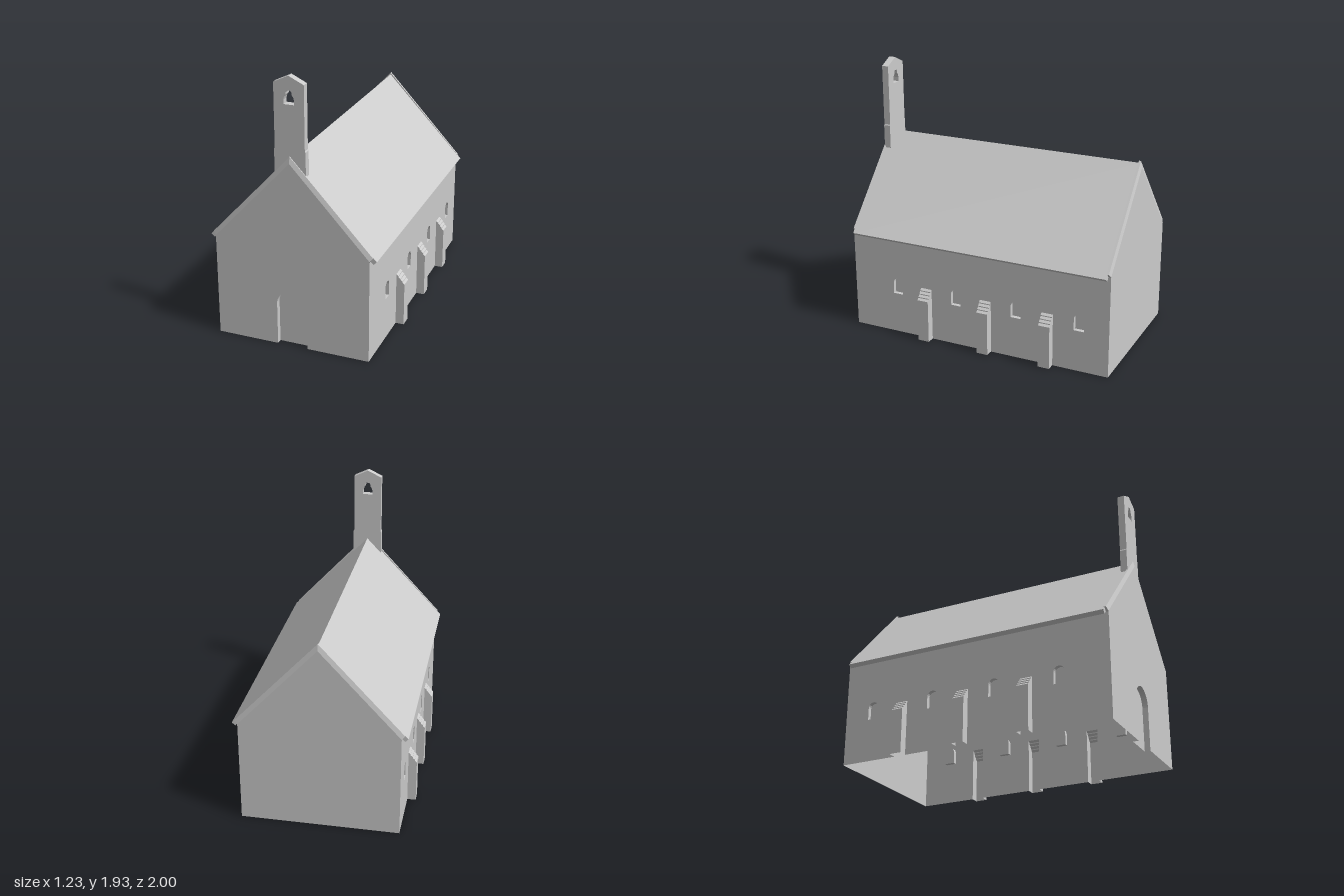
import * as THREE from 'three';

const material = new THREE.MeshStandardMaterial({ color: 0xcccccc, side: THREE.DoubleSide });
const HALF_W = 0.555, HALF_L = 1.0;

function mesh(name, geometry, parent) {
  const m = new THREE.Mesh(geometry, material);
  m.name = name;
  parent.add(m);
  return m;
}

// Flat-faced ribbon joining two polylines of equal length
function strip(a, b) {
  const pos = [];
  for (let i = 0; i < a.length - 1; i++) {
    for (const p of [a[i], a[i + 1], b[i + 1], a[i], b[i + 1], b[i]]) pos.push(...p);
  }
  const g = new THREE.BufferGeometry();
  g.setAttribute('position', new THREE.Float32BufferAttribute(pos, 3));
  g.computeVertexNormals();
  return g;
}

const shapeOf = pts => new THREE.Shape(pts.map(p => new THREE.Vector2(p[0], p[1])));
const atZ = (pts, z) => pts.map(p => [p[0], p[1], z]);

// Round-arched outline, from the bottom left over the top to the bottom right
function arch(cx, y0, springY, r, n = 14) {
  const pts = [[cx - r, y0]];
  for (let i = 0; i <= n; i++) {
    const t = Math.PI * (1 - i / n);
    pts.push([cx + r * Math.cos(t), springY + r * Math.sin(t)]);
  }
  pts.push([cx + r, y0]);
  return pts;
}

// Blind arched recess: reveal plus back panel
function recess(name, pts, z, depth, closed, parent) {
  const group = new THREE.Group();
  group.name = name;
  parent.add(group);
  const loop = closed ? [...pts, pts[0]] : pts;
  mesh(name + 'Reveal', strip(atZ(loop, z - depth), atZ(loop, z)), group);
  mesh(name + 'Panel', new THREE.ShapeGeometry(shapeOf(pts)), group).position.z = z - depth;
}

// Hollow buttress with a weathered, lapped top
function buttress(cx, z, parent) {
  const group = new THREE.Group();
  group.name = 'buttress';
  parent.add(group);
  const w = 0.0425, courses = 4;
  const profile = [[0, 0.06], [0.31, 0.06]];
  for (let i = 0; i < courses; i++) {
    const out = 0.06 * (1 - i / courses), y = 0.31 + 0.02 * i;
    profile.push([y + 0.007, out], [y + 0.02, out - 0.015]);
  }
  const line = (x, k) => profile.map(([y, out]) => [x, y, z + out * k]);
  mesh('buttressFace', strip(line(cx - w, 1), line(cx + w, 1)).scale(1, 1, 1), group);
  for (const s of [-1, 1]) mesh('buttressCheek', strip(line(cx + s * w, 0), line(cx + s * w, 1)), group);
}

// Long wall with windows and buttresses; s = +1 is the model's left
function sideWall(s) {
  const wall = new THREE.Group();
  wall.name = s > 0 ? 'leftWall' : 'rightWall';
  wall.rotation.y = s * Math.PI / 2;
  const outline = [[-HALF_L, 0]];
  const buttresses = [0.405, -0.07, -0.545].map(z => -s * z).sort((a, b) => a - b);
  for (const c of buttresses) {
    outline.push([c - 0.0425, 0], [c - 0.0425, 0.39], [c + 0.0425, 0.39], [c + 0.0425, 0]);
    buttress(c, HALF_W, wall);
  }
  outline.push([HALF_L, 0], [HALF_L, 0.741], [-HALF_L, 0.741]);
  const shape = shapeOf(outline);
  for (const z of [0.64, 0.165, -0.305, -0.78]) {
    const pts = arch(-s * z, 0.305, 0.392, 0.038, 10);
    shape.holes.push(shapeOf(pts));
    recess('window', pts, HALF_W, 0.03, true, wall);
  }
  mesh('wallFace', new THREE.ShapeGeometry(shape), wall).position.z = HALF_W;
  return wall;
}

// Gable wall with sloping coping; the front one has a doorway
function gable(front) {
  const group = new THREE.Group();
  group.name = front ? 'frontGable' : 'backGable';
  if (!front) group.rotation.y = Math.PI;
  const door = arch(0, 0, 0.31, 0.11, 24);
  const outline = [[-HALF_W, 0], ...(front ? door : []), [HALF_W, 0],
    [HALF_W, 0.745], [0, 1.345], [-HALF_W, 0.745]];
  mesh('gableWall', new THREE.ShapeGeometry(shapeOf(outline)), group).position.z = HALF_L;
  if (front) recess('door', door, HALF_L, 0.04, false, group);

  const inner = [[HALF_W, 0.745], [0, 1.345], [-HALF_W, 0.745]];
  const outer = [[0.575, 0.77], [0, 1.39], [-0.575, 0.77]];
  const rings = [atZ(inner, 1), atZ(outer, 0.99), atZ(outer, 0.975), atZ(inner, 0.975)];
  for (let i = 0; i < 3; i++) mesh('coping', strip(rings[i + 1], rings[i]), group);
  for (const e of [0, 2]) {
    mesh('copingEnd', strip([rings[0][e], rings[1][e]], [rings[3][e], rings[2][e]]), group);
  }
  return group;
}

export function createModel() {
  const chapel = new THREE.Group();
  chapel.name = 'chapel';
  chapel.add(sideWall(1), sideWall(-1), gable(true), gable(false));

  // Roof slab
  const roof = shapeOf([[0.598, 0.742], [0, 1.375], [-0.598, 0.742],
    [-0.575, 0.72], [0, 1.33], [0.575, 0.72]]);
  mesh('roof', new THREE.ExtrudeGeometry(roof, { depth: 1.96, bevelEnabled: false }), chapel)
    .position.z = -0.98;

  // Bell tower standing astride the ridge
  const tower = shapeOf([[-0.11, 1.26], [0, 1.365], [0.11, 1.26], [0.11, 1.43], [0.105, 1.44],
    [0.105, 1.88], [0, 1.93], [-0.105, 1.88], [-0.105, 1.44], [-0.11, 1.43]]);
  const half = [[0.037, 1.74], [0.037, 1.77], [0.031, 1.79], [0.021, 1.805], [0.02, 1.82], [0.011, 1.833]];
  tower.holes.push(shapeOf([...half, ...half.map(([x, y]) => [-x, y]).reverse()]));
  mesh('bellTower', new THREE.ExtrudeGeometry(tower, { depth: 0.05, bevelEnabled: false }), chapel)
    .position.z = 0.934;

  return chapel;
}
